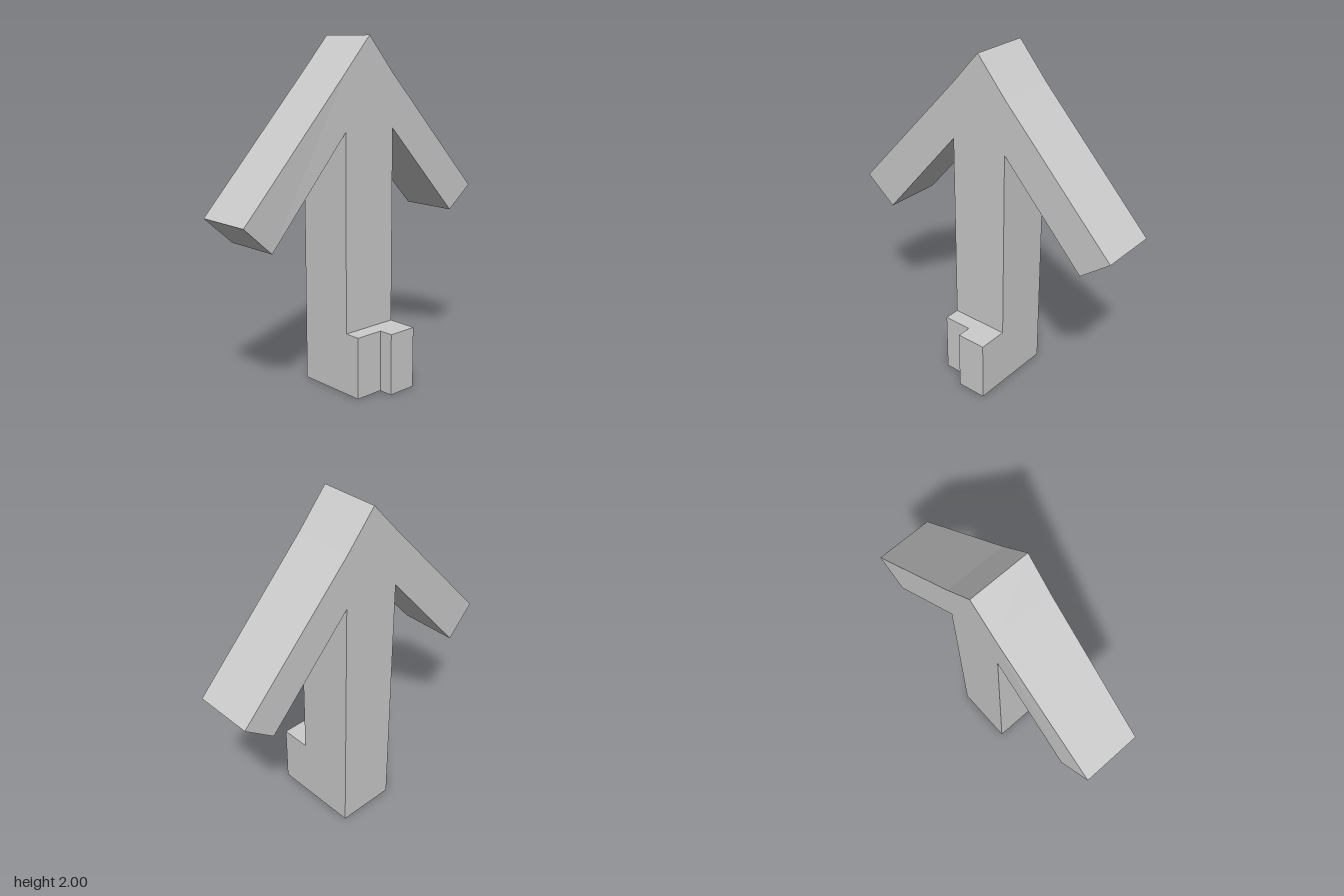
import * as THREE from 'three';

export function createModel() {
  const group = new THREE.Group();
  const material = new THREE.MeshStandardMaterial({ color: 0xcccccc, flatShading: true });
  const left = 0.085, right = -0.265;

  // Post and both sloping arms share one side profile, given as [z, y]
  const profile = [
    [0.175, 0], [0.175, 1.49], [0.685, 0.91], [0.865, 1.07], [0.175, 1.805], [0, 2],
    [-0.18, 1.795], [-0.86, 1.09], [-0.685, 0.955], [-0.18, 1.49], [-0.18, 0],
  ];
  const shape = new THREE.Shape(profile.map(([z, y]) => new THREE.Vector2(-z, y)));
  const body = new THREE.ExtrudeGeometry(shape, { depth: left - right, bevelEnabled: false });
  body.rotateY(Math.PI / 2).translate(right, 0, 0);

  // The front arm's tip leans slightly sideways
  const pos = body.attributes.position;
  for (let i = 0; i < pos.count; i++) {
    const z = pos.getZ(i);
    if (z > 0.8) pos.setX(i, pos.getX(i) + 0.015);
    else if (z > 0.6) pos.setX(i, pos.getX(i) + 0.004);
  }
  body.computeVertexNormals();
  const bodyMesh = new THREE.Mesh(body, material);
  bodyMesh.name = 'postAndArms';
  group.add(bodyMesh);

  // Stepped foot at the base, drawn in plan as [x, z]
  const plan = [
    [left, 0.175], [0.18, 0.175], [0.18, 0], [0.265, 0], [0.265, -0.18], [left, -0.18],
  ];
  const footShape = new THREE.Shape(plan.map(([x, z]) => new THREE.Vector2(x, -z)));
  const foot = new THREE.ExtrudeGeometry(footShape, { depth: 0.36, bevelEnabled: false });
  foot.rotateX(-Math.PI / 2);
  const footMesh = new THREE.Mesh(foot, material);
  footMesh.name = 'steppedFoot';
  group.add(footMesh);

  return group;
}
